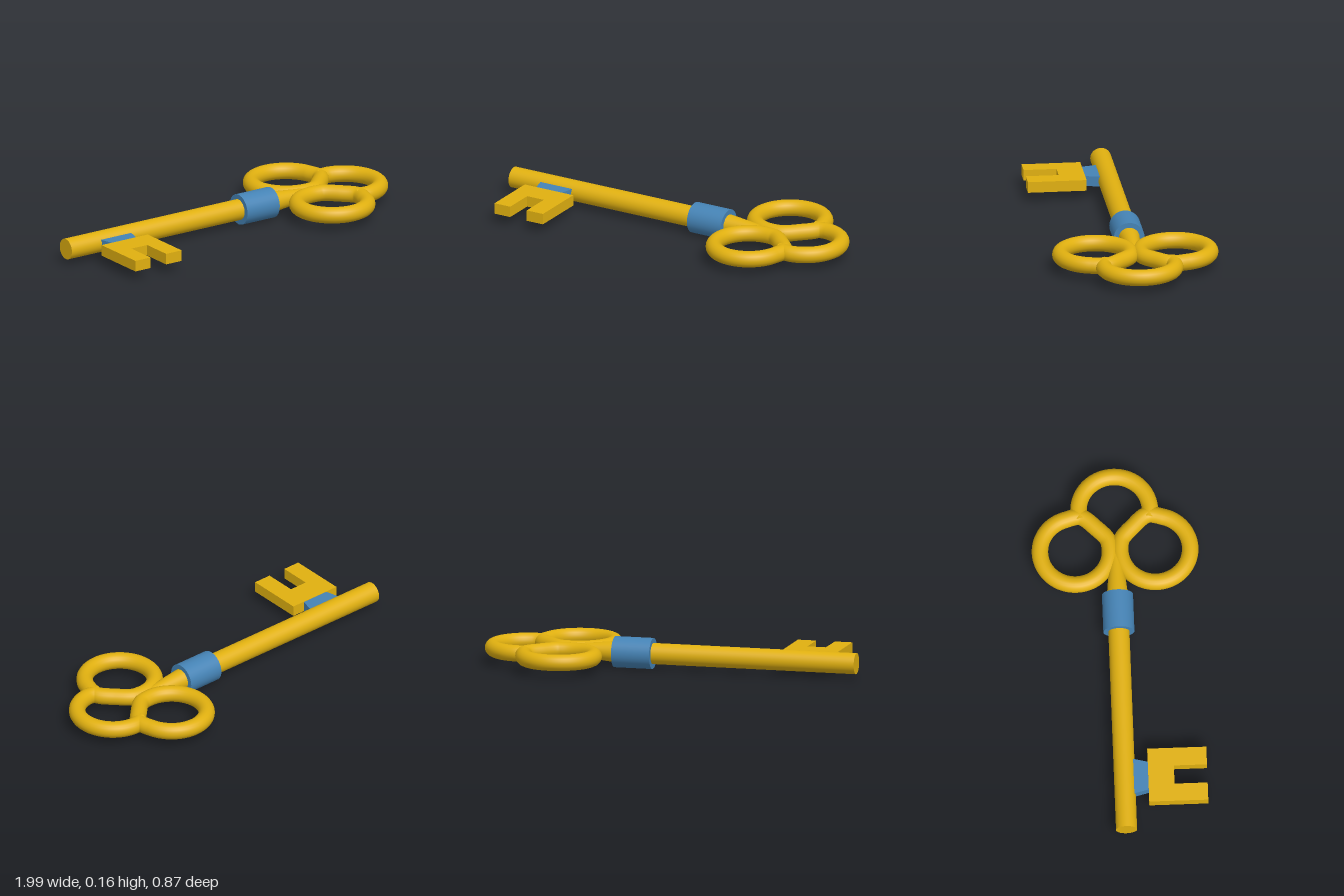
import * as THREE from 'three';

const AXIS = 0.083; // height of the key's centre line
const TUBE = 0.043;

export function createModel() {
  const key = new THREE.Group();
  const gold = new THREE.MeshStandardMaterial({ color: 0xe0b010 });
  const blue = new THREE.MeshStandardMaterial({ color: 0x4583b5 });

  const add = (name, geometry, material, x = 0, z = 0) => {
    const mesh = new THREE.Mesh(geometry, material);
    mesh.name = name;
    mesh.position.set(x, AXIS, z);
    key.add(mesh);
    return mesh;
  };

  // round bar along x
  const bar = (name, x0, x1, r0, r1, material) => {
    const g = new THREE.CylinderGeometry(r1, r0, x1 - x0, 32);
    g.rotateZ(-Math.PI / 2);
    return add(name, g, material, (x0 + x1) / 2);
  };

  // flat plate from [x, z] corners, centred on the axis height
  const plate = (name, corners, thickness, material) => {
    const shape = new THREE.Shape(corners.map(([x, z]) => new THREE.Vector2(x, -z)));
    const g = new THREE.ExtrudeGeometry(shape, { depth: thickness, bevelEnabled: false });
    g.translate(0, 0, -thickness / 2);
    g.rotateX(-Math.PI / 2);
    return add(name, g, material);
  };

  // shaft, its tapered root between the loops, and the collar
  bar('shaft', -1, 0.3, 0.055, 0.055, gold);
  bar('shaftRoot', 0.3, 0.54, 0.055, 0.03, gold);
  bar('collar', 0.095, 0.3, 0.081, 0.081, blue);

  // two side loops, drawn out to a corner where they meet the end loop
  for (const [name, side, cz] of [['rightLoop', -1, 0.212], ['leftLoop', 1, 0.205]]) {
    const pts = [];
    for (let deg = 15; deg <= 290; deg += 12.5) {
      const a = THREE.MathUtils.degToRad(deg);
      pts.push(new THREE.Vector3(0.545 + 0.182 * Math.cos(a), 0, side * (cz + 0.182 * Math.sin(a))));
    }
    pts.push(new THREE.Vector3(0.67, 0, side * (cz - 0.115)));
    pts.push(new THREE.Vector3(0.735, 0, side * (cz - 0.035)));
    const path = new THREE.CatmullRomCurve3(pts, true);
    add(name, new THREE.TubeGeometry(path, 96, TUBE, 20, true), gold);
  }

  // end loop: an open arc whose ends sink into the side loops
  const arc = [new THREE.Vector3(0.715, 0, -0.175)];
  for (let deg = -88; deg <= 88; deg += 11) {
    const a = THREE.MathUtils.degToRad(deg);
    arc.push(new THREE.Vector3(0.768 + 0.182 * Math.cos(a), 0, 0.185 * Math.sin(a)));
  }
  arc.push(new THREE.Vector3(0.715, 0, 0.175));
  add('endLoop', new THREE.TubeGeometry(new THREE.CatmullRomCurve3(arc), 72, TUBE, 20), gold);

  // neck and notched bit
  plate('bitNeck', [[-0.815, 0.03], [-0.79, 0.13], [-0.64, 0.13], [-0.615, 0.03]], 0.054, blue);
  plate('bit', [
    [-0.86, 0.123], [-0.86, 0.43], [-0.765, 0.43], [-0.765, 0.258],
    [-0.665, 0.258], [-0.665, 0.43], [-0.567, 0.43], [-0.567, 0.123],
  ], 0.058, gold);

  return key;
}
